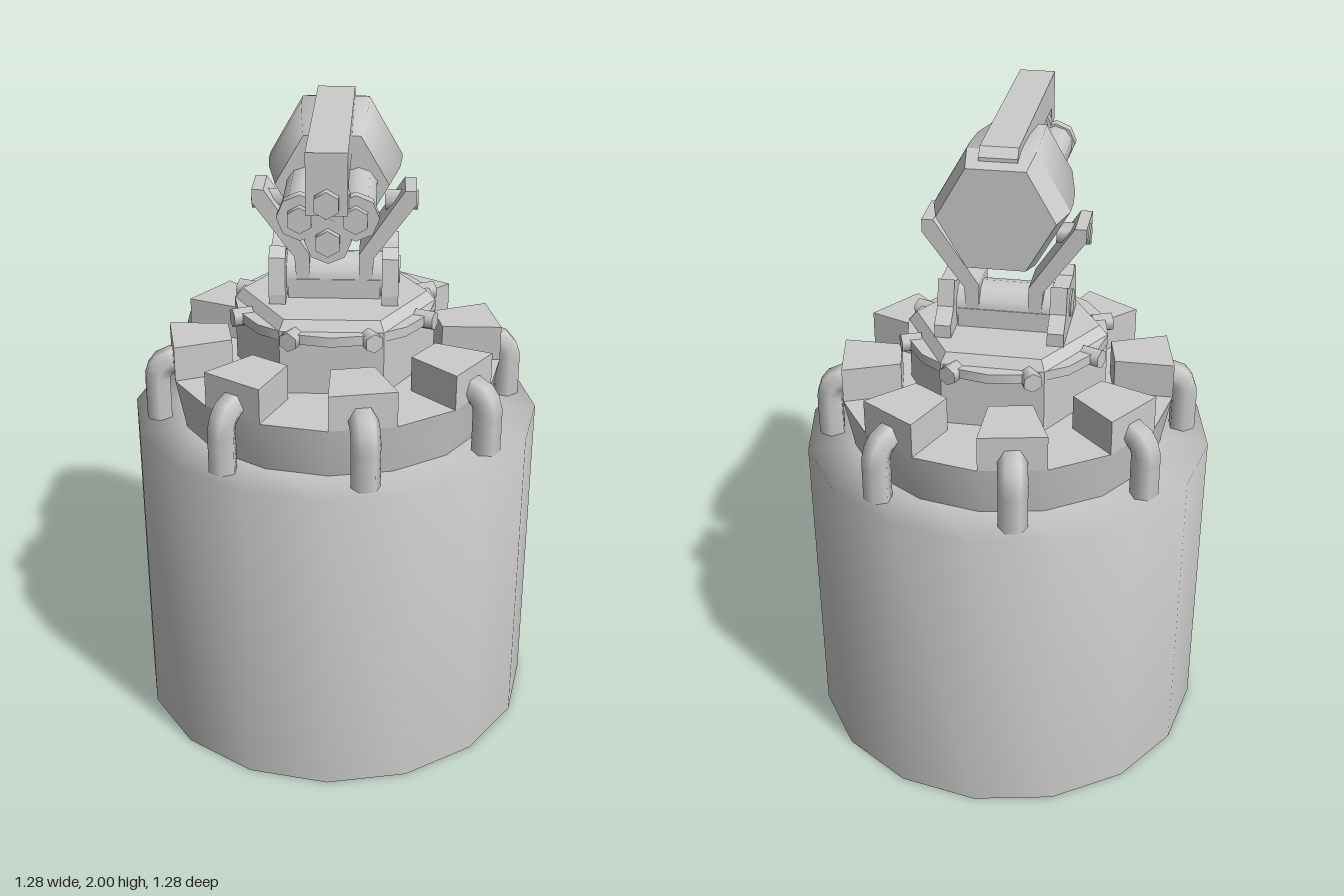
import * as THREE from 'three';
import { toCreasedNormals } from 'three/addons/utils/BufferGeometryUtils.js';

const grey = new THREE.MeshStandardMaterial({ color: 0xcccccc });
const greyOpen = new THREE.MeshStandardMaterial({ color: 0xcccccc, side: THREE.DoubleSide });
const rad = THREE.MathUtils.degToRad;
const GUN_Y = 1.805;

export function createModel() {
  const model = new THREE.Group();

  const add = (name, geo, parent = model, mat = grey) => {
    const mesh = new THREE.Mesh(geo, mat);
    mesh.name = name;
    parent.add(mesh);
    return mesh;
  };
  const group = (name) => {
    const g = new THREE.Group();
    g.name = name;
    model.add(g);
    return g;
  };
  const lathe = (pts, sides, start = 0) =>
    new THREE.LatheGeometry(pts.map(([r, y]) => new THREE.Vector2(r, y)), sides, start);
  const crisp = (geo, deg = 20) => toCreasedNormals(geo, rad(deg));
  const extrude = (pts, depth) => new THREE.ExtrudeGeometry(
    new THREE.Shape(pts.map(([x, y]) => new THREE.Vector2(x, y))),
    { depth, bevelEnabled: false }).translate(0, 0, -depth / 2);
  // Side profile given as (z, y), thickness along x
  const sideExtrude = (pts, width) => extrude(pts, width).rotateY(-Math.PI / 2);
  // Rod along z from z0 to z1
  const rodZ = (r, z0, z1, sides, x, y) =>
    new THREE.CylinderGeometry(r, r, z1 - z0, sides).rotateX(Math.PI / 2).translate(x, y, (z0 + z1) / 2);
  // Rod along x centred at x
  const rodX = (r, len, sides, x, y, z) =>
    new THREE.CylinderGeometry(r, r, len, sides).rotateZ(Math.PI / 2).translate(x, y, z);

  // Open-bottomed base drum, shaded smoothly over the rim
  add('baseDrum', lathe([[0.64, 0], [0.64, 1.01], [0.45, 1.01]], 16), model, greyOpen);

  // Flared ring carrying the teeth
  add('toothRing', crisp(lathe([[0.49, 1.01], [0.52, 1.17], [0.2, 1.17]], 16), 25));

  // Eight teeth, each one sixteenth of the ring, and an elbow pipe behind each
  const teeth = group('ringTeeth');
  const pipes = group('elbowPipes');
  const bolts = group('collarBolts');
  const pipePath = new THREE.CatmullRomCurve3(
    [[1.0, 0.56], [1.1, 0.56], [1.16, 0.557], [1.195, 0.53], [1.2, 0.49], [1.2, 0.44]]
      .map(([y, z]) => new THREE.Vector3(0, y, z)));
  for (let i = 0; i < 8; i++) {
    const a = rad(45 * i), b = a + rad(22.5);
    const corner = (r, t) => [r * Math.sin(t), -r * Math.cos(t)];
    add('tooth', extrude([corner(0.52, a), corner(0.52, b), corner(0.336, b), corner(0.336, a)], 0.11)
      .rotateX(-Math.PI / 2).translate(0, 1.225, 0), teeth);
    const pipe = add('elbowPipe', new THREE.TubeGeometry(pipePath, 12, 0.044, 6), pipes, greyOpen);
    pipe.rotation.y = rad(45 * i + 11.25);
    const bolt = add('collarBolt', rodZ(0.03, 0.27, 0.333, 6, 0, 1.352), bolts);
    bolt.rotation.y = rad(45 * i + 22.5);
  }

  // Hexagonal neck with bevelled top and a thin collar
  add('turretNeck', crisp(lathe(
    [[0.31, 1.1], [0.31, 1.37], [0.285, 1.4], [0, 1.4]], 6, Math.PI / 2)));
  add('neckCollar', new THREE.CylinderGeometry(0.312, 0.312, 0.03, 16).translate(0, 1.355, 0));

  // Cradle: cross drum, side feet, bent arms and pivot bolts
  const cradle = group('cradle');
  add('crossDrum', rodX(0.075, 0.3, 12, 0, 1.45, 0), cradle);
  add('drumBed', new THREE.BoxGeometry(0.28, 0.07, 0.15).translate(0, 1.425, 0), cradle);
  const foot = [[0.13, 1.39], [0.13, 1.43], [0.11, 1.54], [0.07, 1.565], [0.04, 1.54],
    [-0.05, 1.54], [-0.09, 1.56], [-0.11, 1.48], [-0.16, 1.44], [-0.16, 1.39]];
  const arm = [[0.075, 1.4], [0.11, 1.4], [0.12, 1.53], [0.245, 1.7], [0.245, 1.74], [0.21, 1.74], [0.075, 1.54]];
  for (const s of [1, -1]) {
    add('cradleFoot', sideExtrude(foot, 0.05).translate(s * 0.17, 0, 0), cradle);
    add('footBoss', rodX(0.045, 0.07, 8, s * 0.165, 1.47, 0), cradle);
    add('cradleArm', extrude(arm.map(([x, y]) => [s * x, y]), 0.145), cradle);
    add('pivotBolt', rodX(0.033, 0.1, 5, s * 0.2, 1.695, 0), cradle);
  }

  // Gun body: smooth hexagonal barrel housing with a crisp rear collar
  const gun = group('gun');
  const alongZ = (pts) => lathe(pts, 6, Math.PI / 2).rotateX(Math.PI / 2).translate(0, GUN_Y, 0);
  add('gunHousing', alongZ(
    [[0.2, -0.1], [0.2, -0.04], [0.193, 0.05], [0.175, 0.15], [0.163, 0.22]]), gun);
  add('housingFront', crisp(alongZ([[0.163, 0.22], [0, 0.22]])), gun);
  add('rearCollar', crisp(alongZ(
    [[0, -0.2], [0.173, -0.2], [0.192, -0.13], [0.2, -0.1], [0.17, -0.1]])), gun);

  // Barrel cluster: three barrels with flanges and muzzles, plus a top flange
  for (const [x, y] of [[-0.075, 1.8], [0.075, 1.8], [0, 1.735]]) {
    add('barrel', rodZ(0.056, 0.2, 0.47, 10, x, y), gun);
    add('muzzle', rodZ(0.037, 0.48, 0.525, 6, x, y), gun);
    add('barrelFlange', rodZ(0.064, 0.465, 0.5, 8, x, y), gun);
  }
  add('topFlange', rodZ(0.06, 0.465, 0.5, 8, 0, 1.86), gun);
  add('flangeCentre', new THREE.BoxGeometry(0.13, 0.13, 0.034)
    .rotateZ(Math.PI / 4).translate(0, 1.8, 0.4825), gun);
  add('upperBarrel', rodZ(0.05, 0.2, 0.5, 8, 0, 1.86), gun);

  // Top rail with a drooping nose and its own muzzle
  add('topRail', sideExtrude([[0.57, 1.83], [0.57, 2], [-0.135, 2], [-0.16, 1.975],
    [-0.16, 1.9], [0.5, 1.9], [0.5, 1.83]], 0.112), gun);
  add('railMuzzle', rodZ(0.037, 0.55, 0.6, 6, 0, 1.867), gun);

  return model;
}
